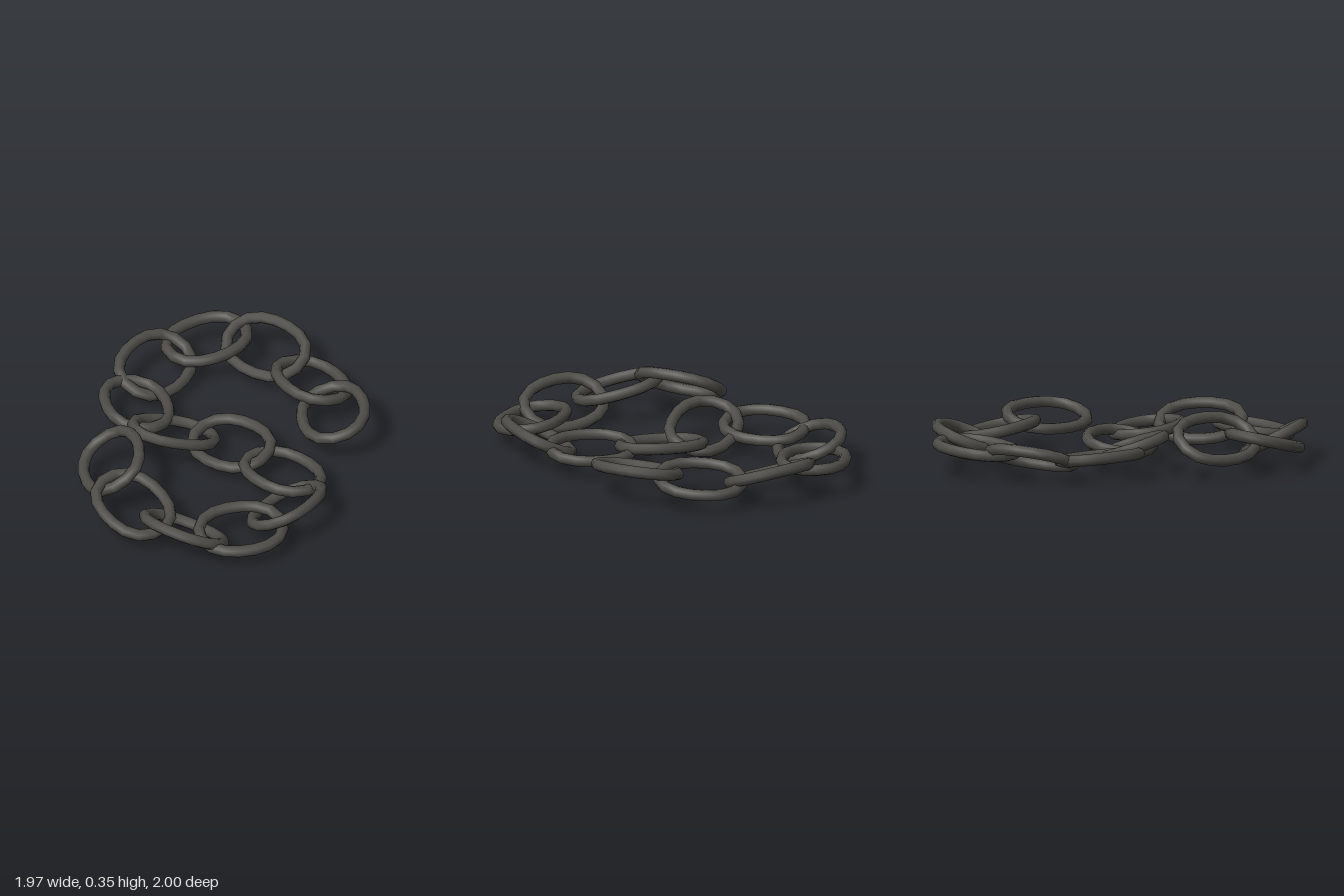
import * as THREE from 'three';

// Rounded oval centre line of one chain link
class LinkCurve extends THREE.Curve {
  getPoint(t, target = new THREE.Vector3()) {
    const a = (t + 1 / 32) * Math.PI * 2;
    const soft = (v) => Math.sign(v) * Math.pow(Math.abs(v), 0.88);
    return target.set(0.241 * soft(Math.cos(a)), 0.183 * soft(Math.sin(a)), 0);
  }
}

// Each link: x, y, z, yaw in degrees (from +x towards +z), slope along x, slope along z
const LINKS = [
  [0.28, 0.195, -0.66, 30, 0.14, -0.23],
  [-0.07, 0.165, -0.79, 10, 0.02, 0.2],
  [-0.47, 0.182, -0.78, -17, -0.2, -0.34],
  [-0.75, 0.18, -0.57, -78, 0, -0.07],
  [-0.77, 0.155, -0.205, 77, -0.4, 0],
  [-0.55, 0.15, 0.117, 28, -0.07, 0.14],
  [-0.2, 0.155, 0.13, -60, 0.07, 0.35],
  [0.07, 0.13, -0.075, -13, 0, -0.19],
  [0.48, 0.14, -0.118, -5, 0.03, 0.1],
  [0.76, 0.15, 0.085, 73, 0.45, -0.12],
  [0.757, 0.14, 0.425, -62, -0.12, -0.08],
  [0.545, 0.135, 0.672, -24, 0.1, 0.52],
  [0.222, 0.18, 0.783, 0, -0.25, -0.1],
  [-0.128, 0.235, 0.655, 28, 0.33, -0.55],
];

export function createModel() {
  const group = new THREE.Group();
  group.name = 'chain';
  const iron = new THREE.MeshStandardMaterial({ color: 0x4d4c47 });
  iron.name = 'dark iron';
  const geometry = new THREE.TubeGeometry(new LinkCurve(), 16, 0.034, 8, true);

  LINKS.forEach(([x, y, z, yaw, p, q], i) => {
    const c = Math.cos(THREE.MathUtils.degToRad(yaw));
    const s = Math.sin(THREE.MathUtils.degToRad(yaw));
    // Lay the link in its tilted plane with the long axis along the yaw
    const long = new THREE.Vector3(c, p * c + q * s, s).normalize();
    const normal = new THREE.Vector3(-p, 1, -q).normalize();
    const across = new THREE.Vector3().crossVectors(normal, long);
    const link = new THREE.Mesh(geometry, iron);
    link.name = `chainLink${i + 1}`;
    link.quaternion.setFromRotationMatrix(new THREE.Matrix4().makeBasis(long, across, normal));
    link.position.set(x, y, z);
    group.add(link);
  });
  return group;
}
